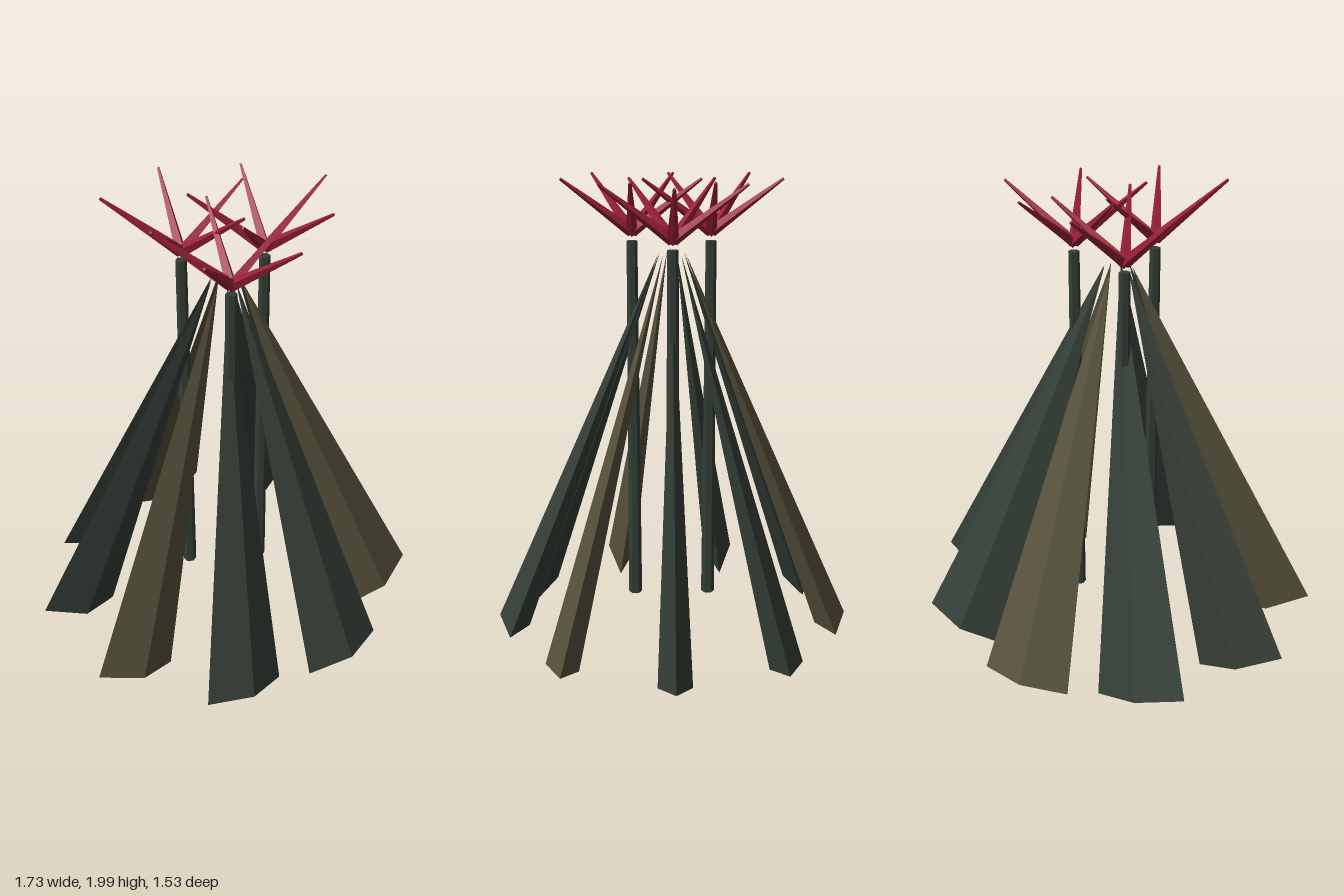
import * as THREE from 'three';

const UP = new THREE.Vector3(0, 1, 0);

function mat(name, color) {
  const m = new THREE.MeshStandardMaterial({ color, flatShading: true });
  m.name = name;
  return m;
}

// Tapered prism running from base to tip; sx and sz stretch its cross-section
function spike(name, base, tip, rBase, rTip, sides, material, sx = 1, sz = 1) {
  const dir = tip.clone().sub(base);
  const geo = rTip > 0
    ? new THREE.CylinderGeometry(rTip, rBase, dir.length(), sides)
    : new THREE.ConeGeometry(rBase, dir.length(), sides);
  geo.scale(sx, 1, sz);
  const mesh = new THREE.Mesh(geo, material);
  mesh.name = name;
  mesh.position.copy(base).add(tip).multiplyScalar(0.5);
  mesh.quaternion.setFromUnitVectors(UP, dir.normalize());
  return mesh;
}

// Point at a given angle, radius and height around the vertical axis
function polar(angle, r, y) {
  return new THREE.Vector3(r * Math.cos(angle), y, -r * Math.sin(angle));
}

export function createModel() {
  const green = mat('dark green', 0x333d35);
  const olive = mat('olive', 0x55503a);
  const red = mat('crimson', 0x9b2038);

  const plant = new THREE.Group();
  plant.name = 'plant';

  // Ring of nine drooping leaves, every third one olive
  const leaves = new THREE.Group();
  leaves.name = 'leaves';
  for (let i = 0; i < 9; i++) {
    const a = (i * Math.PI * 2) / 9;
    leaves.add(spike('leaf', polar(a, 0.712, 0.08), polar(a, 0.058, 1.69),
      1, 0, 4, i % 3 === 2 ? olive : green, 0.19, 0.07));
  }
  plant.add(leaves);

  // Three stalks, each carrying a five-petalled flower
  for (let i = 0; i < 3; i++) {
    const foot = polar((i * Math.PI * 2) / 3, 0.193, 0.11);
    const top = foot.clone().setY(1.73);
    plant.add(spike('stalk', foot, top, 0.03, 0.023, 6, green));

    const flower = new THREE.Group();
    flower.name = 'flower';
    flower.position.set(foot.x, 0, foot.z);
    for (let j = 0; j < 5; j++) {
      const a = (j * Math.PI * 2) / 5;
      flower.add(spike('petal', polar(a, 0, 1.767), polar(a, 0.303, 1.993),
        0.025, 0.006, 4, red));
    }
    plant.add(flower);
  }

  plant.position.x = -0.022;
  const model = new THREE.Group();
  model.name = 'spikyPlant';
  model.add(plant);
  return model;
}
